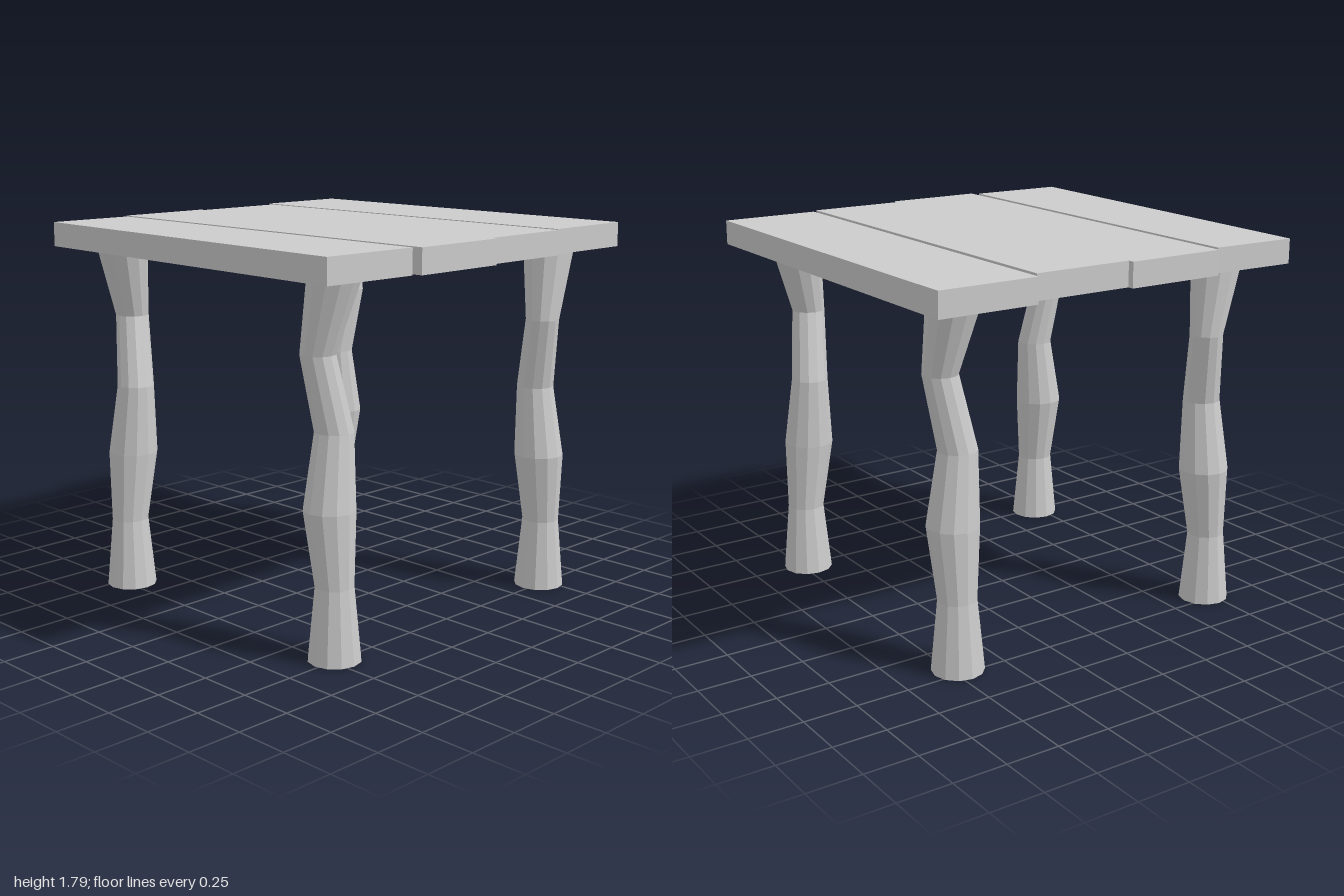
import * as THREE from 'three';

const TOP = 1.79, UNDER = 1.675;
const material = new THREE.MeshStandardMaterial({ color: 0xcccccc, flatShading: true });

// Leg rings: height, radius, sideways drift in x and z
const LEG_RINGS = [
  [0, 0.12, 0, 0],
  [0.335, 0.088, 0, 0],
  [0.67, 0.118, -0.03, 0],
  [1.005, 0.088, -0.033, -0.03],
  [1.34, 0.079, -0.07, 0.03],
  [UNDER, 0.12, 0, 0],
];

// Crooked trunk: a cylinder whose rings are shifted and scaled
function legGeometry() {
  const geo = new THREE.CylinderGeometry(1, 1, 1, 12, LEG_RINGS.length - 1);
  const pos = geo.attributes.position;
  for (let i = 0; i < pos.count; i++) {
    const ring = Math.round((pos.getY(i) + 0.5) * (LEG_RINGS.length - 1));
    const [y, r, dx, dz] = LEG_RINGS[ring];
    pos.setXYZ(i, pos.getX(i) * r + dx, y, pos.getZ(i) * r + dz);
  }
  geo.computeVertexNormals();
  return geo;
}

// Board from its plan outline, corners given as [x, z]
function plank(name, corners) {
  const shape = new THREE.Shape(corners.map(([x, z]) => new THREE.Vector2(x, -z)));
  const geo = new THREE.ExtrudeGeometry(shape, { depth: TOP - UNDER, bevelEnabled: false });
  geo.rotateX(-Math.PI / 2);
  const mesh = new THREE.Mesh(geo, material);
  mesh.name = name;
  mesh.position.y = UNDER;
  return mesh;
}

const rect = (x0, x1, z0, z1) => [[x0, z0], [x0, z1], [x1, z1], [x1, z0]];

export function createModel() {
  const table = new THREE.Group();
  table.name = 'table';

  // Table top: four uneven boards, the right one cut askew
  const top = new THREE.Group();
  top.name = 'tableTop';
  top.add(
    plank('rightPlank', [[-0.93, -0.95], [-0.985, 0.96], [-0.51, 0.975], [-0.51, -0.935]]),
    plank('innerRightPlank', rect(-0.48, 0, -0.975, 1)),
    plank('innerLeftPlank', rect(0, 0.475, -0.945, 0.97)),
    plank('leftPlank', rect(0.505, 0.98, -1, 0.94)),
  );
  table.add(top);

  // One leg repeated at the corners, a quarter turn each time
  const geo = legGeometry();
  [
    ['frontLeftLeg', 0.715, 0.733, 0],
    ['frontRightLeg', -0.717, 0.733, -1],
    ['backRightLeg', -0.717, -0.7, -2],
    ['backLeftLeg', 0.715, -0.7, -3],
  ].forEach(([name, x, z, turns]) => {
    const leg = new THREE.Mesh(geo, material);
    leg.name = name;
    leg.position.set(x, 0, z);
    leg.rotation.y = turns * Math.PI / 2;
    table.add(leg);
  });

  return table;
}
